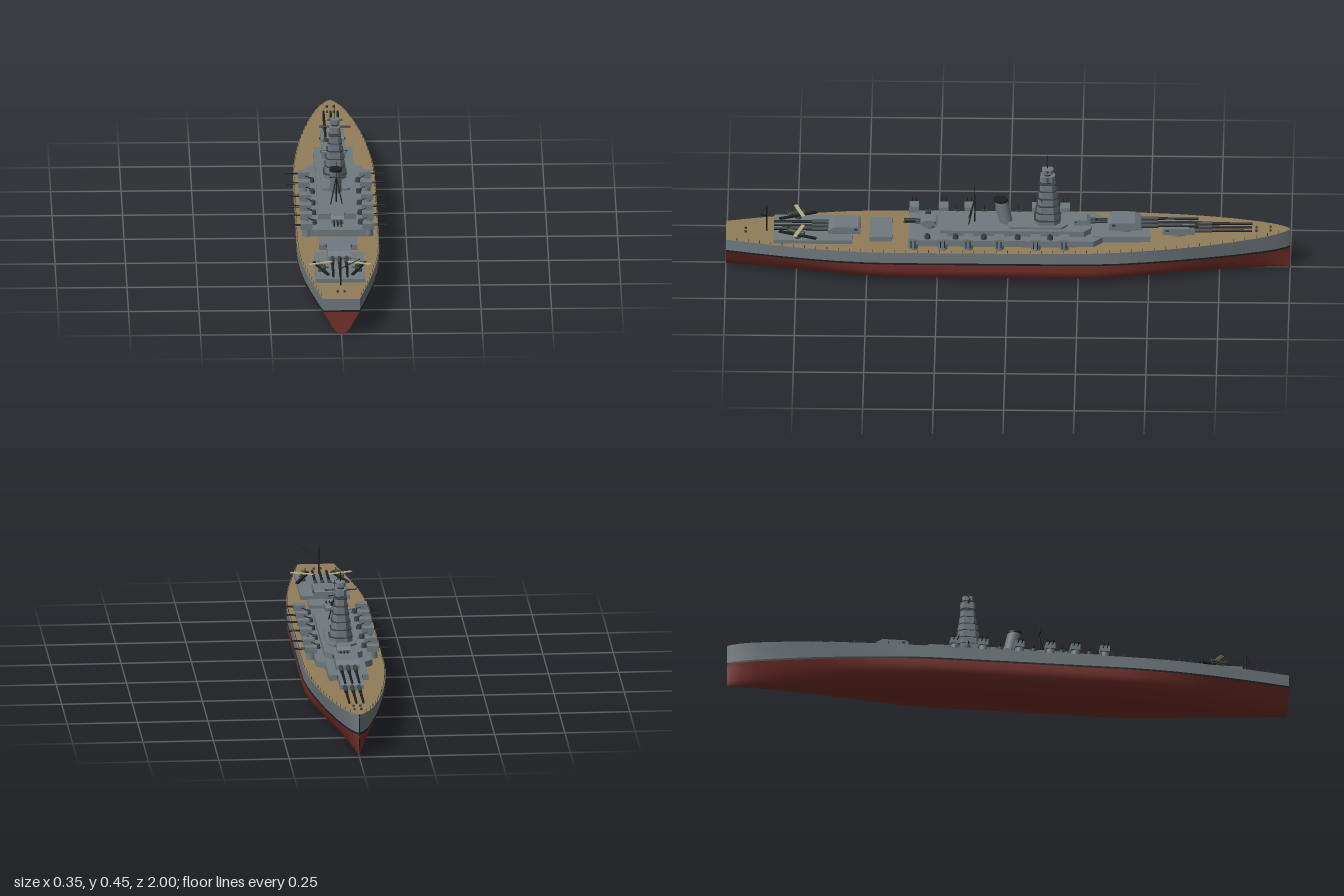
import * as THREE from 'three';
import { mergeGeometries } from 'three/addons/utils/BufferGeometryUtils.js';

const paint = (color, extra = {}) => new THREE.MeshStandardMaterial({ color, ...extra });
const GREY = paint(0x6f797f), RED = paint(0x75302a), DECK = paint(0x917d59), BLACK = paint(0x1c1e20);
const DARK = paint(0x3b4145), GREEN = paint(0x3c4a32), TAN = paint(0xb5a988);
const V = (x, y, z) => new THREE.Vector3(x, y, z);
const clamp = THREE.MathUtils.clamp, lerp = THREE.MathUtils.lerp;

function add(parent, name, geo, mat, x = 0, y = 0, z = 0) {
  const m = new THREE.Mesh(geo, mat);
  m.name = name;
  m.position.set(x, y, z);
  parent.add(m);
  return m;
}
const box = (w, h, d) => new THREE.BoxGeometry(w, h, d);
const cyl = (r0, r1, h, n = 16) => new THREE.CylinderGeometry(r0, r1, h, n);

// Thin round bar between two points
function rod(a, b, r, r2 = r, n = 8) {
  const d = b.clone().sub(a), g = cyl(r2, r, d.length(), n);
  g.applyQuaternion(new THREE.Quaternion().setFromUnitVectors(V(0, 1, 0), d.normalize()));
  const c = a.clone().add(b).multiplyScalar(0.5);
  return g.translate(c.x, c.y, c.z);
}

// Upright block with chamfered ends: cf towards the bow, cb towards the stern
function block(hw, z0, z1, y0, y1, cf = 0, cb = 0) {
  const pts = [[-hw, z1 - cb], [-hw + cb, z1], [hw - cb, z1], [hw, z1 - cb], [hw, z0 + cf], [hw - cf, z0], [-hw + cf, z0], [-hw, z0 + cf]];
  const s = new THREE.Shape(pts.map(p => new THREE.Vector2(p[0], -p[1])));
  return new THREE.ExtrudeGeometry(s, { depth: y1 - y0, bevelEnabled: false }).rotateX(-Math.PI / 2).translate(0, y0, 0);
}

// Deck half-width by station, bow at -z
const STATIONS = [[-1, 0.002], [-0.985, 0.016], [-0.95, 0.036], [-0.9, 0.055], [-0.8, 0.082], [-0.7, 0.103], [-0.6, 0.119],
  [-0.5, 0.131], [-0.4, 0.14], [-0.3, 0.145], [-0.1, 0.146], [0.1, 0.146], [0.3, 0.146], [0.42, 0.146], [0.5, 0.143],
  [0.6, 0.135], [0.7, 0.122], [0.8, 0.105], [0.9, 0.086], [1, 0.065]];
const deckY = z => 0.132 + 0.025 * Math.pow(clamp((-z - 0.1) / 0.9, 0, 1), 1.5);
function halfWidth(z) {
  let i = 1;
  while (i < STATIONS.length - 1 && STATIONS[i][0] < z) i++;
  const [a, b] = [STATIONS[i - 1], STATIONS[i]];
  return lerp(a[1], b[1], (z - a[0]) / (b[0] - a[0]));
}

// Skin through a cross-section at every station
function loft(section) {
  const pos = [], idx = [];
  let n = 0;
  STATIONS.forEach(([z, w], i) => {
    const row = section(z, w);
    n = row.length;
    row.forEach(p => pos.push(p[0], p[1], z));
    if (i) for (let j = 0; j < n - 1; j++) {
      const a = (i - 1) * n + j, b = a + n;
      idx.push(a, b, a + 1, b, b + 1, a + 1);
    }
  });
  const g = new THREE.BufferGeometry();
  g.setAttribute('position', new THREE.Float32BufferAttribute(pos, 3));
  g.setIndex(idx);
  g.computeVertexNormals();
  return g;
}

const MID = [[1, 0.083], [1, 0.057], [0.96, 0.036], [0.85, 0.019], [0.68, 0.01], [0.35, 0.006], [0, 0.002]];
const VEE = [[1, 0.083], [0.83, 0.066], [0.65, 0.045], [0.46, 0.022], [0.28, 0.008], [0.13, 0.003], [0, 0]];
const bowV = z => clamp((-z - 0.35) / 0.65, 0, 1);
const waterW = (z, w) => w * (1 - 0.2 * bowV(z));
function bottom(z, w) {
  const v = Math.max(bowV(z), Math.pow(clamp((z - 0.4) / 0.6, 0, 1), 1.3)), ww = waterW(z, w);
  const half = MID.map((m, i) => [ww * lerp(m[0], VEE[i][0], v), lerp(m[1], VEE[i][1], v)]);
  return [...half, ...half.slice(0, -1).reverse().map(p => [-p[0], p[1]])];
}

function buildHull(ship) {
  const hull = new THREE.Group();
  hull.name = 'hull';
  ship.add(hull);
  add(hull, 'lowerHull', loft(bottom), RED);
  for (const s of [1, -1]) {
    const strip = f => loft((z, w) => (s > 0 ? f(z, w) : f(z, w).map(p => [-p[0], p[1]]).reverse()));
    add(hull, 'waterlineStripe', strip((z, w) => [[waterW(z, w), 0.09], [waterW(z, w), 0.083]]), BLACK);
    add(hull, 'upperHull', strip((z, w) => [[w, deckY(z)], [waterW(z, w), 0.09]]), GREY);
  }
  add(hull, 'deck', loft((z, w) => [[-w, deckY(z)], [w, deckY(z)]]), DECK);
  // Transom
  const s = new THREE.Shape(bottom(1, 0.065).map(p => new THREE.Vector2(...p)));
  add(hull, 'transomBottom', new THREE.ShapeGeometry(s), RED, 0, 0, 1);
  add(hull, 'transomStripe', new THREE.PlaneGeometry(0.13, 0.007), BLACK, 0, 0.0865, 1);
  add(hull, 'transom', new THREE.PlaneGeometry(0.13, 0.042), GREY, 0, 0.111, 1);
  // Rail posts and bollards along the deck edge
  const posts = [];
  for (let z = -0.96; z < 0.98; z += 0.04) for (const k of [1, -1])
    posts.push(box(0.002, 0.011, 0.002).translate(k * (halfWidth(z) - 0.003), deckY(z) + 0.005, z));
  add(hull, 'railPosts', mergeGeometries(posts), DARK);
  for (const k of [1, -1]) for (const z of [-0.93, -0.88, 0.93])
    add(hull, 'bollard', cyl(0.004, 0.004, 0.008, 10), DARK, k * 0.012, deckY(z) + 0.003, z);
}

// Gun turret pointing towards -z
function turret(name, w, len, h, barrelXs, reach, r) {
  const g = new THREE.Group();
  g.name = name;
  const L = len / 2;
  const s = new THREE.Shape([[-L, 0], [L, 0], [L, h * 0.55], [L * 0.6, h], [-L * 0.85, h], [-L, h * 0.8]].map(p => new THREE.Vector2(...p)));
  add(g, 'gunHouse', new THREE.ExtrudeGeometry(s, { depth: w, bevelEnabled: false }).rotateY(Math.PI / 2).translate(-w / 2, 0, 0), GREY);
  for (const x of barrelXs) {
    add(g, 'barrel', rod(V(x, h * 0.35, -L * 0.8), V(x, h * 0.35, -reach), r, r * 0.75, 10), BLACK);
    add(g, 'barrelSleeve', rod(V(x, h * 0.35, -L * 0.8), V(x, h * 0.35, -L - (reach - L) * 0.3), r * 1.4, r * 1.3, 10), DARK);
  }
  add(g, 'rangefinder', box(w * 1.1, h * 0.25, len * 0.1), DARK, 0, h * 0.7, L * 0.7);
  return g;
}

function buildTower(ship) {
  const t = new THREE.Group();
  t.name = 'bridgeTower';
  t.position.z = -0.14;
  ship.add(t);
  // Tiers: half-width, half-length, bottom, top
  const tiers = [[0.041, 0.046, 0.176, 0.204], [0.036, 0.041, 0.204, 0.231], [0.033, 0.037, 0.231, 0.259], [0.029, 0.034, 0.259, 0.287],
    [0.025, 0.03, 0.287, 0.315], [0.021, 0.027, 0.315, 0.342], [0.02, 0.026, 0.35, 0.376], [0.016, 0.02, 0.382, 0.401]];
  tiers.forEach(([w, l, a, b], i) => {
    add(t, 'towerTier', block(w, -l, l, a, b - 0.003, w * 0.5, w * 0.4), GREY);
    if (i < 6) add(t, 'tierLedge', block(w + 0.001, -l - 0.002, l + 0.002, b - 0.003, b, w * 0.5, w * 0.4), DARK);
  });
  add(t, 'towerNeck', cyl(0.013, 0.013, 0.05), DARK, 0, 0.362, 0);
  add(t, 'rangefinderArm', rod(V(-0.056, 0.369, 0), V(0.056, 0.369, 0), 0.0035), DARK);
  add(t, 'directorArm', rod(V(-0.028, 0.395, 0), V(0.028, 0.395, 0), 0.003), DARK);
  add(t, 'signalYard', rod(V(-0.046, 0.287, 0.02), V(0.046, 0.287, 0.02), 0.001), BLACK);
  add(t, 'antenna', rod(V(0, 0.4, 0), V(0, 0.452, 0), 0.0016, 0.0008), BLACK);
}

function buildFunnelAndMast(ship) {
  // Oval funnel raked towards the stern
  const f = cyl(0.021, 0.021, 0.1, 24).scale(1, 1, 1.15), c = cyl(0.0225, 0.0225, 0.008, 24).scale(1, 1, 1.15);
  for (const [g, y] of [[f, 0.22], [c, 0.268]]) {
    g.translate(0, y, 0);
    const p = g.attributes.position;
    for (let i = 0; i < p.count; i++) p.setZ(i, p.getZ(i) + 0.005 + (p.getY(i) - 0.17) * 0.22);
    g.computeVertexNormals();
  }
  add(ship, 'funnel', f, GREY);
  add(ship, 'funnelCap', c, BLACK);
  // Tripod mast
  const m = new THREE.Group();
  m.name = 'mainMast';
  ship.add(m);
  add(m, 'mastPole', rod(V(0, 0.176, 0.118), V(0, 0.328, 0.118), 0.0025, 0.001), BLACK);
  for (const k of [1, -1]) add(m, 'mastLeg', rod(V(k * 0.021, 0.176, 0.14), V(0, 0.272, 0.118), 0.002), BLACK);
  add(m, 'mastYard', rod(V(-0.022, 0.272, 0.118), V(0.022, 0.272, 0.118), 0.0025), BLACK);
}

function buildSideGuns(ship) {
  for (const k of [1, -1]) {
    for (const z of [-0.2, -0.1, 0.03, 0.14, 0.23, 0.335]) {
      const g = new THREE.Group();
      g.name = 'sideGun';
      g.position.set(k * 0.11, 0, z);
      add(g, 'gunPedestal', cyl(0.015, 0.017, 0.03), GREY, 0, 0.144, 0);
      add(g, 'gunShield', box(0.042, 0.022, 0.034), GREY, 0, 0.169, 0);
      for (const d of [-0.007, 0.007])
        add(g, 'sideGunBarrel', rod(V(k * 0.018, 0.171, d), V(k * 0.063, 0.171, d), 0.0017), BLACK);
      ship.add(g);
    }
    // Light mounts and directors between the side guns
    for (const z of [-0.15, -0.035, 0.085, 0.185, 0.285]) {
      add(ship, 'lightMount', cyl(0.009, 0.011, 0.016, 12), DARK, k * 0.083, 0.164, z);
      add(ship, 'lightBarrel', rod(V(k * 0.083, 0.17, z), V(k * 0.105, 0.18, z), 0.0015), BLACK);
    }
  }
}

function buildAircraftDeck(ship) {
  add(ship, 'aftPlatform', block(0.088, 0.55, 0.83, 0.125, 0.146), GREY);
  add(ship, 'hatchHouse', block(0.068, 0.41, 0.49, 0.125, 0.151), GREY);
  for (const k of [1, -1]) {
    // Catapult with a floatplane
    const c = new THREE.Group();
    c.name = 'catapult';
    c.position.set(k * 0.067, 0.146, 0.745);
    c.rotation.y = -k * 0.35;
    add(c, 'catapultBase', cyl(0.01, 0.012, 0.008), DARK, 0, 0.004, 0);
    add(c, 'catapultBeam', box(0.011, 0.006, 0.14), BLACK, 0, 0.01, 0);
    add(c, 'fuselage', new THREE.CapsuleGeometry(0.006, 0.055, 4, 10).rotateX(Math.PI / 2), GREEN, 0, 0.023, 0.005);
    add(c, 'wing', box(0.085, 0.002, 0.014), TAN, 0, 0.028, -0.005);
    add(c, 'tailplane', box(0.028, 0.002, 0.009), GREEN, 0, 0.025, 0.035);
    add(c, 'tailFin', box(0.002, 0.012, 0.01), GREEN, 0, 0.031, 0.035);
    add(c, 'planeFloat', new THREE.CapsuleGeometry(0.003, 0.04, 4, 8).rotateX(Math.PI / 2), GREEN, 0, 0.016, -0.005);
    ship.add(c);
  }
  // Stern crane
  add(ship, 'cranePost', rod(V(0, 0.13, 0.855), V(0, 0.235, 0.855), 0.0025), BLACK);
  add(ship, 'craneBoom', rod(V(0, 0.195, 0.855), V(0.068, 0.238, 0.878), 0.0018), BLACK);
  add(ship, 'craneCable', rod(V(0, 0.234, 0.855), V(0.068, 0.238, 0.878), 0.0006), BLACK);
}

export function createModel() {
  const ship = new THREE.Group();
  ship.name = 'battleship';
  buildHull(ship);
  // Stepped superstructure
  add(ship, 'forwardDeckhouse', block(0.07, -0.505, -0.3, 0.125, 0.16), GREY);
  add(ship, 'mainDeckhouse', block(0.1, -0.335, 0.35, 0.125, 0.157, 0.03), GREY);
  add(ship, 'upperDeckhouse', block(0.067, -0.295, 0.24, 0.157, 0.178, 0.025), GREY);
  add(ship, 'bridgeBase', block(0.052, -0.21, 0.0, 0.178, 0.186, 0.02, 0.01), GREY);
  add(ship, 'aftPedestal', cyl(0.022, 0.022, 0.016, 20), GREY, 0, 0.164, 0.28);
  buildTower(ship);
  buildFunnelAndMast(ship);
  // Main and secondary turrets: height, centre z, turned aft or not
  const tri = [-0.025, 0, 0.025], small = [-0.012, 0, 0.012];
  for (const [y, z, aft, h] of [[0.153, -0.605, 0, 0.025], [0.17, -0.415, 0, 0.029], [0.146, 0.58, 1, 0.027]]) {
    const t = turret('mainTurret', 0.084, 0.115, h, tri, aft ? 0.25 : 0.26, 0.0055);
    t.position.set(0, y, z);
    t.rotation.y = aft * Math.PI;
    ship.add(t);
    add(ship, 'barbette', cyl(0.037, 0.037, 0.04, 28), GREY, 0, y - 0.019, z);
  }
  for (const [y, z, aft] of [[0.178, -0.262, 0], [0.171, 0.28, 1]]) {
    const t = turret('secondaryTurret', 0.047, 0.06, 0.02, small, 0.09, 0.003);
    t.position.set(0, y, z);
    t.rotation.y = aft * Math.PI;
    ship.add(t);
  }
  buildSideGuns(ship);
  buildAircraftDeck(ship);
  return ship;
}
